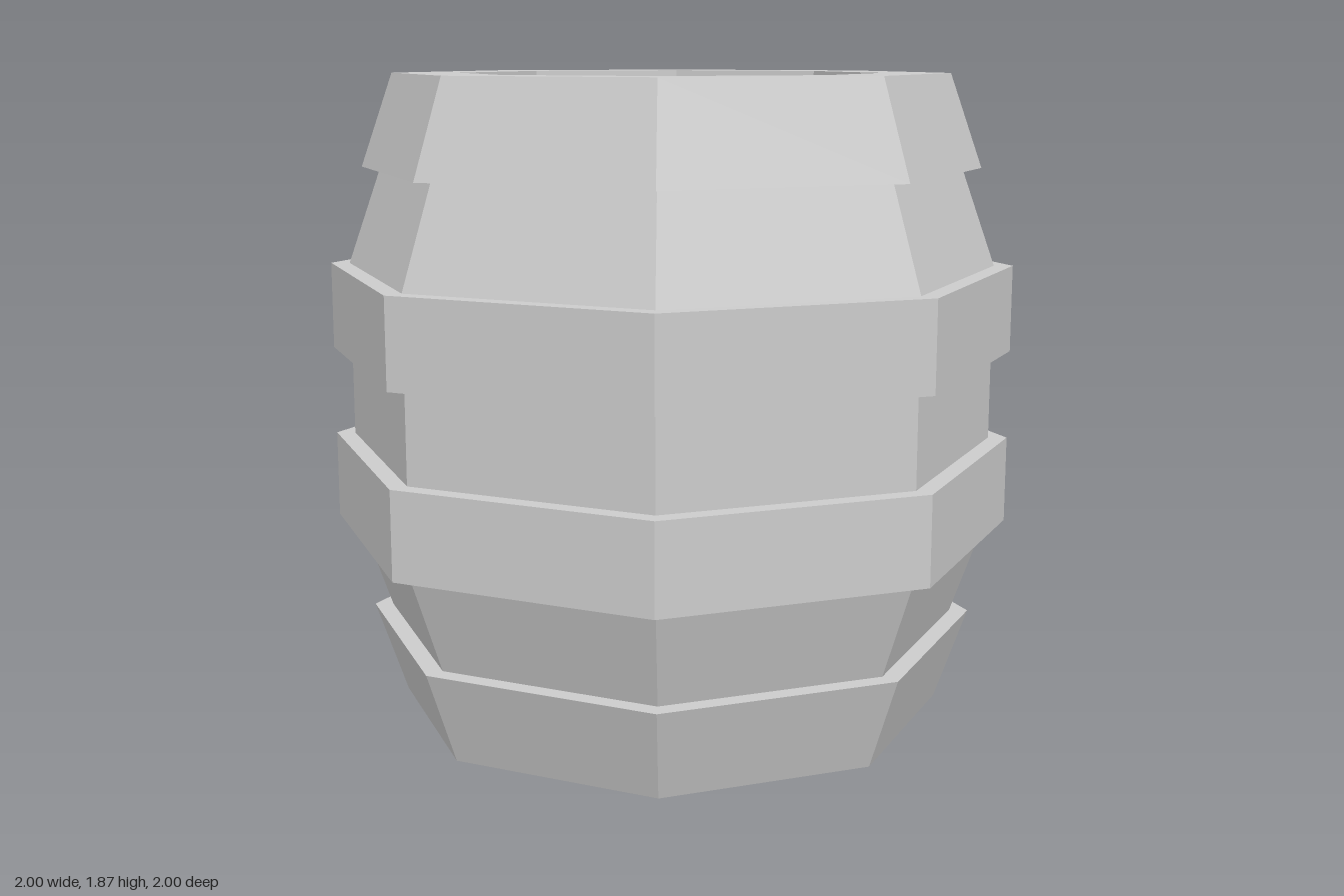
import * as THREE from 'three';

const SIDES = 8;
const HEIGHT = 1.87;

export function createModel() {
  const barrel = new THREE.Group();
  barrel.name = 'barrel';
  const material = new THREE.MeshStandardMaterial({ color: 0xcccccc, flatShading: true });

  // Eight-sided ring or cap from [radius, y] points, listed bottom to top on the outside
  function addRing(name, profile) {
    const points = profile.map(([r, y]) => new THREE.Vector2(r, y));
    const geometry = new THREE.LatheGeometry(points, SIDES).toNonIndexed();
    geometry.computeVertexNormals();
    const mesh = new THREE.Mesh(geometry, material);
    mesh.name = name;
    barrel.add(mesh);
  }

  // The same part at the bottom and, mirrored, at the top
  function addPair(name, profile) {
    addRing('lower' + name, profile);
    addRing('upper' + name, profile.map(([r, y]) => [r, HEIGHT - y]).reverse());
  }

  // Recessed lids with their raised rims
  addPair('Lid', [[0, 0.05], [0.61, 0.05], [0.61, 0], [0.805, 0]]);
  // Tapered end hoops with a ledge
  addPair('EndHoop', [[0.805, 0], [0.9, 0.27], [0.845, 0.27]]);
  // Sloping staves between the hoops
  addPair('Staves', [[0.845, 0.27], [0.945, 0.553]]);
  // Wide straight hoops
  addPair('MiddleHoop', [[0.945, 0.553], [1, 0.553], [1, 0.805], [0.945, 0.805]]);
  // Straight staves around the waist
  addRing('waistStaves', [[0.945, 0.805], [0.945, HEIGHT - 0.805]]);

  return barrel;
}
